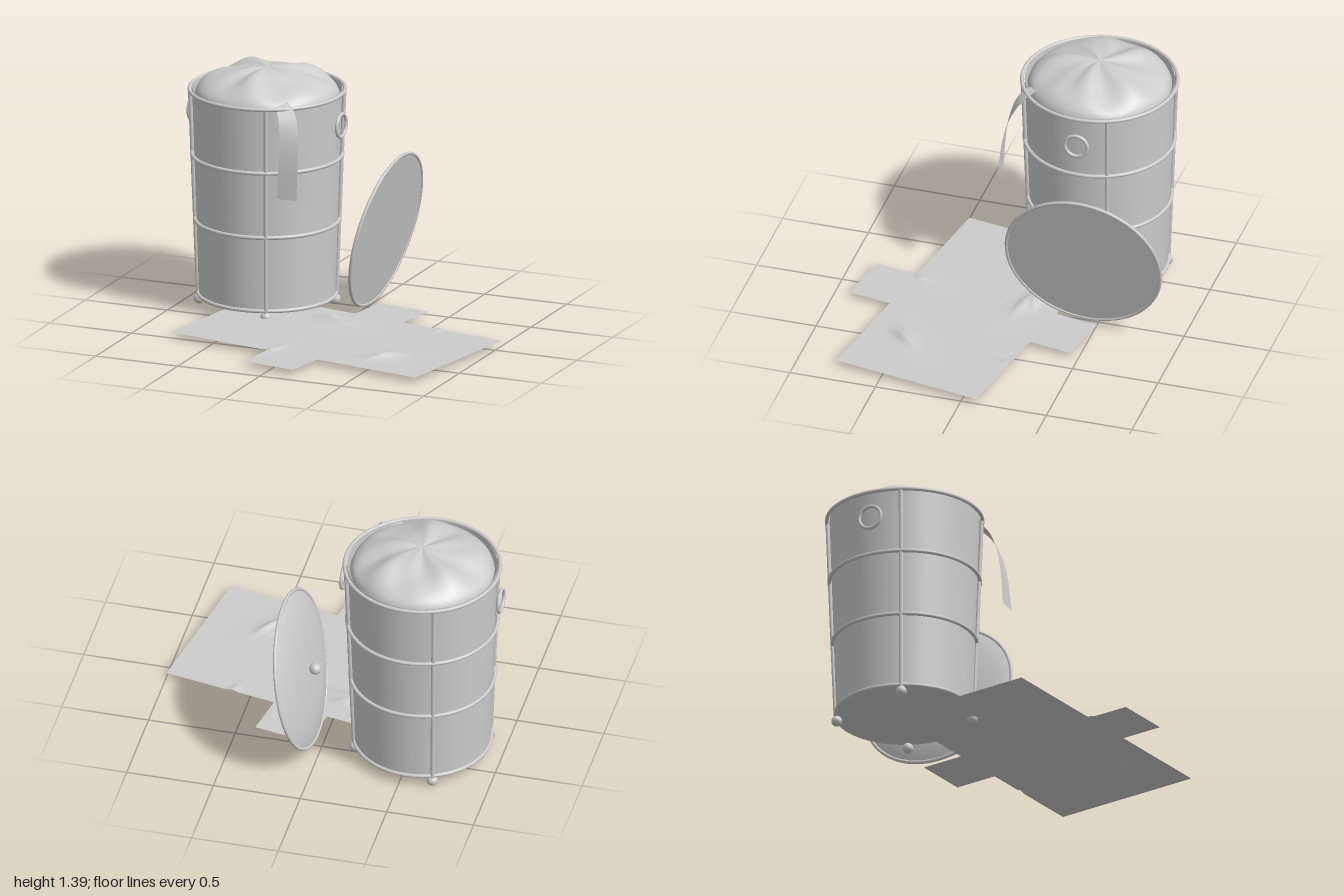
import * as THREE from 'three';
import { mergeVertices } from 'three/addons/utils/BufferGeometryUtils.js';

const grey = new THREE.MeshStandardMaterial({ color: 0xcccccc, side: THREE.DoubleSide });
grey.name = 'plain grey';

function add(parent, name, geometry, x = 0, y = 0, z = 0) {
  const mesh = new THREE.Mesh(geometry, grey);
  mesh.name = name;
  mesh.position.set(x, y, z);
  parent.add(mesh);
  return mesh;
}

const profile = (pairs) => pairs.map(([r, y]) => new THREE.Vector2(r, y));

// Moves every vertex's height by a rule, then smooths the surface.
function raise(geometry, rule) {
  geometry.deleteAttribute('uv');
  geometry.deleteAttribute('normal');
  const merged = mergeVertices(geometry, 1e-4);
  const p = merged.attributes.position;
  for (let i = 0; i < p.count; i++) p.setY(i, p.getY(i) + rule(p.getX(i), p.getZ(i)));
  merged.computeVertexNormals();
  return merged;
}

function createBin() {
  const bin = new THREE.Group();
  bin.name = 'bin';

  // Tapered wall and floor
  add(bin, 'wall', new THREE.CylinderGeometry(0.42, 0.382, 1.2, 64, 1, true), 0, 0.66, 0);
  add(bin, 'floor', new THREE.CircleGeometry(0.382, 64).rotateX(Math.PI / 2), 0, 0.06, 0);

  // Hoops
  for (const [y, r] of [[0.068, 0.386], [0.5, 0.404], [0.88, 0.422], [1.255, 0.436]]) {
    add(bin, 'hoop', new THREE.TorusGeometry(r, 0.011, 10, 72).rotateX(Math.PI / 2), 0, y, 0);
  }

  // Four leaning uprights, each ending in a ball foot
  for (let i = 0; i < 4; i++) {
    const a = Math.PI / 8 + i * Math.PI / 2;
    const at = (r, y) => new THREE.Vector3(Math.sin(a) * r, y, Math.cos(a) * r);
    const line = new THREE.LineCurve3(at(0.386, 0.05), at(0.432, 1.255));
    add(bin, 'upright', new THREE.TubeGeometry(line, 1, 0.012, 10));
    const foot = at(0.38, 0.031);
    add(bin, 'foot', new THREE.SphereGeometry(0.031, 16, 12), foot.x, foot.y, foot.z);
  }

  // Ring handles on both sides
  for (const s of [-1, 1]) {
    add(bin, 'ringHandle', new THREE.TorusGeometry(0.066, 0.01, 10, 40).rotateY(Math.PI / 2), s * 0.453, 1.09, 0);
  }

  // Lumpy heap filling the top
  const curve = new THREE.SplineCurve(profile([
    [0.405, 1.23], [0.385, 1.272], [0.33, 1.315], [0.24, 1.35], [0.12, 1.375], [0, 1.382]]));
  const heap = new THREE.LatheGeometry(curve.getPoints(24), 72);
  add(bin, 'heap', raise(heap, (x, z) => {
    const r = Math.hypot(x, z) / 0.4, a = Math.atan2(z, x);
    const swell = Math.min(1, r * 1.6) * Math.max(0, 1 - r ** 6);
    return swell * (0.014 * Math.sin(5 * a + 0.6) + 0.008 * Math.sin(8 * a + 3 * r) + 0.006 * Math.sin(17 * x + 9 * z));
  }));
  return bin;
}

// Cloth strip hanging over the rim, lofted between a left and a right edge
function createStrip() {
  const v = (list) => new THREE.CatmullRomCurve3(list.map((p) => new THREE.Vector3(...p)));
  const left = v([[-0.37, 1.25, -0.02], [-0.33, 1.257, 0.02], [-0.295, 1.21, 0.065],
    [-0.275, 1.13, 0.095], [-0.27, 1.0, 0.12], [-0.27, 0.77, 0.138]]);
  const right = v([[-0.31, 1.285, -0.07], [-0.25, 1.262, -0.02], [-0.20, 1.215, 0.03],
    [-0.17, 1.13, 0.075], [-0.157, 1.0, 0.11], [-0.153, 0.77, 0.138]]);
  const geometry = new THREE.PlaneGeometry(1, 1, 3, 24);
  const p = geometry.attributes.position;
  for (let i = 0; i < p.count; i++) {
    const t = 0.5 - p.getY(i), s = p.getX(i) + 0.5;
    const q = left.getPoint(t).lerp(right.getPoint(t), s);
    p.setXYZ(i, q.x, q.y, q.z);
  }
  geometry.computeVertexNormals();
  return geometry;
}

function createLid() {
  const lid = new THREE.Group();
  lid.name = 'lid';
  const dome = new THREE.SplineCurve(profile([
    [0.447, 0.002], [0.38, 0.024], [0.27, 0.045], [0.14, 0.055], [0, 0.058]]));
  add(lid, 'lidDome', new THREE.LatheGeometry(dome.getPoints(20), 64));
  add(lid, 'lidUnderside', new THREE.CircleGeometry(0.45, 64).rotateX(Math.PI / 2), 0, -0.004, 0);
  add(lid, 'lidRim', new THREE.TorusGeometry(0.449, 0.01, 10, 72).rotateX(Math.PI / 2));
  add(lid, 'knob', new THREE.SphereGeometry(0.033, 20, 14), 0, 0.086, 0);
  return lid;
}

// Cross-shaped cloth lying on the ground with a few creased bumps
function createSheet() {
  const sheet = new THREE.Group();
  sheet.name = 'groundSheet';
  // centre u, v, height, half length, half width, turn
  const bumps = [
    [0.63, 0.19, 0.022, 0.13, 0.05, 0.2], [0.61, 0.16, 0.016, 0.05, 0.02, -0.2],
    [1.23, 0.02, 0.014, 0.015, 0.05, 0], [1.26, 0.64, 0.026, 0.11, 0.05, -0.9],
    [0.67, 0.83, 0.016, 0.02, 0.07, 0.1]];
  const height = (u, v) => bumps.reduce((sum, [bu, bv, h, a, b, turn]) => {
    const c = Math.cos(turn), s = Math.sin(turn), du = u - bu, dv = v - bv;
    const l = (du * c + dv * s) / a, w = (dv * c - du * s) / b;
    return sum + h * Math.exp(-l * l - w * w) * (1 + 0.35 * Math.sin(4 * w + 2 * l));
  }, 0);
  const panels = [
    ['sheetBody', 0, 0, 1.64, 0.88], ['sheetBackFlap', 0.655, -0.255, 0.325, 0.255],
    ['sheetFrontFlap', 0.655, 0.88, 0.33, 0.25]];
  for (const [name, u, v, w, d] of panels) {
    const plane = new THREE.PlaneGeometry(w, d, Math.ceil(w / 0.02), Math.ceil(d / 0.02));
    plane.rotateX(-Math.PI / 2).translate(u + w / 2, 0, v + d / 2);
    add(sheet, name, raise(plane, height));
  }
  return sheet;
}

export function createModel() {
  const model = new THREE.Group();
  model.name = 'binWithLid';

  const bin = createBin();
  bin.position.set(-0.54, 0, -0.342);
  model.add(bin);

  add(model, 'hangingStrip', createStrip());

  // Lid leaning on its edge beside the bin
  const lid = createLid();
  lid.position.set(0.135, 0.482, -0.452);
  lid.rotation.z = 1.354;
  model.add(lid);

  const sheet = createSheet();
  sheet.position.set(-0.615, 0.03, -0.377);
  sheet.rotation.y = -0.175;
  model.add(sheet);

  return model;
}
